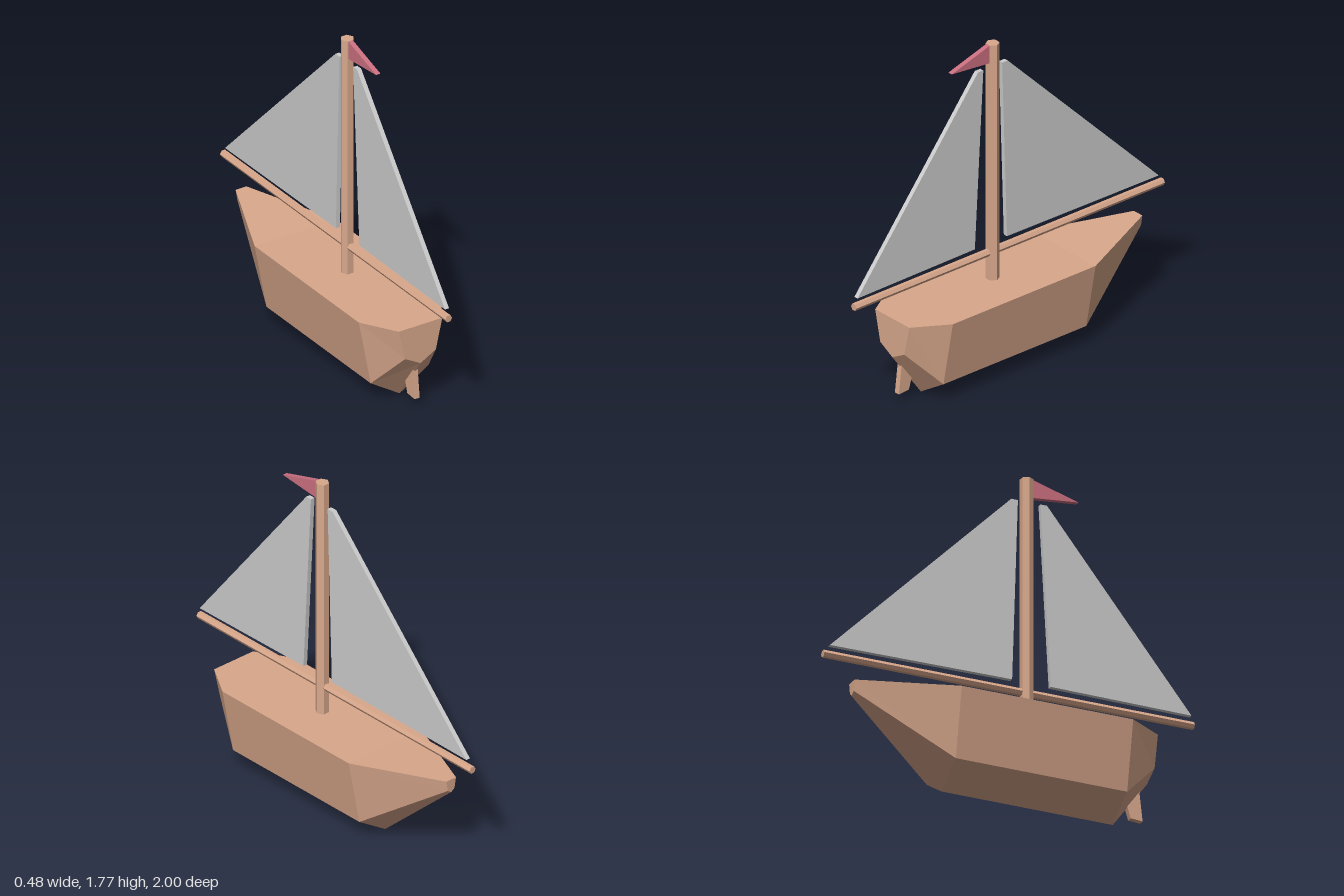
import * as THREE from 'three';

const paint = (color) => new THREE.MeshStandardMaterial({ color, flatShading: true });
const wood = paint(0xd9a88c);
const cloth = paint(0xcccccc);
const red = paint(0xcc7080);

function add(group, name, geometry, material) {
  const mesh = new THREE.Mesh(geometry, material);
  mesh.name = name;
  group.add(mesh);
  return mesh;
}

// Flat panel from [z, y] corners, centred on x = 0
function panel(corners, thickness) {
  const shape = new THREE.Shape(corners.map(([z, y]) => new THREE.Vector2(z, y)));
  return new THREE.ExtrudeGeometry(shape, { depth: thickness, bevelEnabled: false })
    .translate(0, 0, -thickness / 2)
    .rotateY(-Math.PI / 2);
}

// Five-sided hull lofted through cross-sections from stern to bow
function hullGeometry() {
  // z, deck half-width, deck y, chine half-width, chine y, keel y
  const rings = [
    [0.75, 0.128, 0.47, 0.09, 0.305, 0.255],
    [0.565, 0.24, 0.47, 0.17, 0.108, 0],
    [-0.36, 0.24, 0.47, 0.17, 0.108, 0],
    [-0.843, 0.032, 0.497, 0.022, 0.44, 0.425],
  ].map(([z, w, y, cw, cy, ky]) =>
    [[w, y, z], [-w, y, z], [-cw, cy, z], [0, ky, z], [cw, cy, z]]);
  const pos = [];
  const tri = (...points) => points.forEach((p) => pos.push(...p));
  for (let s = 0; s < rings.length - 1; s++) {
    const a = rings[s], b = rings[s + 1];
    for (let i = 0; i < 5; i++) {
      const j = (i + 1) % 5;
      tri(a[i], b[i], a[j]);
      tri(a[j], b[i], b[j]);
    }
  }
  // Transom and bow caps
  const stern = rings[0], bow = rings[rings.length - 1];
  for (let i = 1; i < 4; i++) {
    tri(stern[0], stern[i], stern[i + 1]);
    tri(bow[0], bow[i + 1], bow[i]);
  }
  const geometry = new THREE.BufferGeometry();
  geometry.setAttribute('position', new THREE.Float32BufferAttribute(pos, 3));
  geometry.computeVertexNormals();
  return geometry;
}

export function createModel() {
  const boat = new THREE.Group();
  boat.name = 'sailboat';

  add(boat, 'hull', hullGeometry(), wood);
  add(boat, 'rudder', panel([[0.72, 0.043], [0.655, 0.048], [0.61, 0.2], [0.695, 0.26]], 0.03), wood);

  // Hexagonal mast and boom, corners pointing to the sides
  const mast = new THREE.CylinderGeometry(0.035, 0.035, 1.315, 6).rotateY(Math.PI / 2);
  add(boat, 'mast', mast, wood).position.set(0, 1.1175, 0.1);
  const boom = new THREE.CylinderGeometry(0.02, 0.02, 2, 6).rotateY(Math.PI / 2).rotateX(Math.PI / 2);
  add(boat, 'boom', boom, wood).position.y = 0.62;

  // Sails either side of the mast
  add(boat, 'sternSail', panel([[0.985, 0.668], [0.205, 1.65], [0.17, 1.65], [0.225, 0.675]], 0.024), cloth);
  add(boat, 'bowSail', panel([[-0.967, 0.668], [0.017, 0.675], [0.048, 1.65], [0.012, 1.65]], 0.024), cloth);

  add(boat, 'pennant', panel([[0.125, 1.775], [0.125, 1.676], [0.375, 1.7]], 0.026), red);

  return boat;
}
